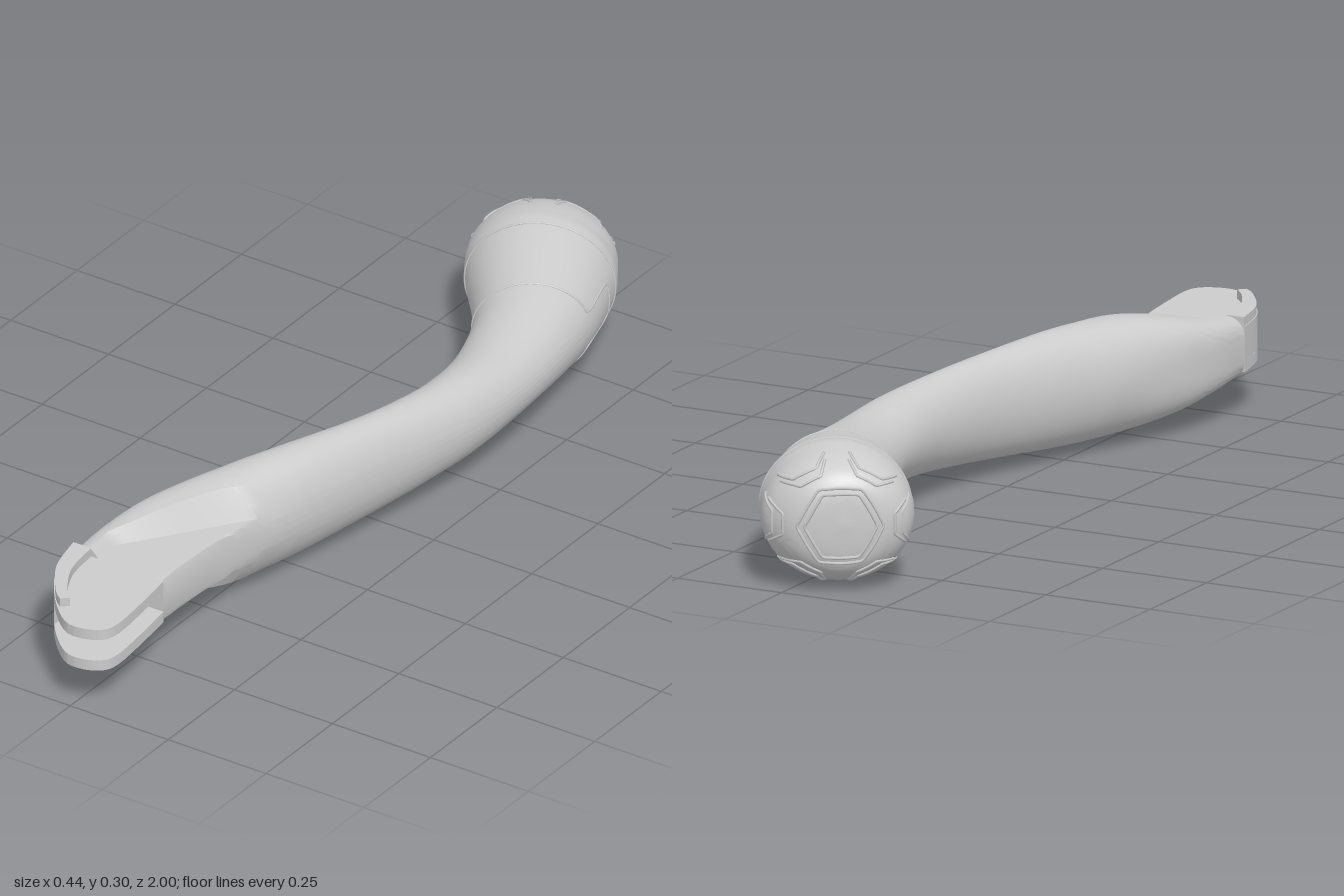
import * as THREE from 'three';
import { toCreasedNormals } from 'three/addons/utils/BufferGeometryUtils.js';

const MID = 0.15; // height of the long axis
const material = new THREE.MeshStandardMaterial({ color: 0xcccccc, side: THREE.DoubleSide });

// Stations from the knob to the grip: left x, left z, right x, right z, half height
const stations = [
  [-0.125, -0.955, -0.125, -0.955, 0], [-0.175, -0.915, -0.06, -0.99, 0.07],
  [-0.205, -0.88, -0.005, -0.998, 0.107], [-0.218, -0.835, 0.055, -0.975, 0.132],
  [-0.2, -0.78, 0.095, -0.92, 0.146], [-0.16, -0.722, 0.122, -0.87, 0.145],
  [-0.035, -0.565, 0.178, -0.7, 0.111], [0.03, -0.395, 0.212, -0.47, 0.086],
  [0.055, -0.236, 0.215, -0.26, 0.094], [0.05, -0.1, 0.192, -0.1, 0.103],
  [0.02, 0.055, 0.16, 0.055, 0.114], [-0.045, 0.24, 0.125, 0.24, 0.126],
  [-0.085, 0.34, 0.105, 0.34, 0.128], [-0.115, 0.43, 0.085, 0.43, 0.124],
  [-0.15, 0.54, 0.068, 0.54, 0.109], [-0.168, 0.64, 0.062, 0.64, 0.087],
  [-0.17, 0.74, 0.062, 0.74, 0.072],
];
const LAST = stations.length - 1;
const leftCurve = new THREE.CatmullRomCurve3(
  stations.map(([x, z, , , h]) => new THREE.Vector3(x, h, z)), false, 'catmullrom');
const rightCurve = new THREE.CatmullRomCurve3(
  stations.map(([, , x, z]) => new THREE.Vector3(x, 0, z)), false, 'catmullrom');

const clamp = THREE.MathUtils.clamp;
const spow = (v, p) => Math.sign(v) * Math.pow(Math.abs(v), p);

// Cross-section data at station s; the section grows squarer towards the grip
function section(s) {
  const l = leftCurve.getPoint(s / LAST), r = rightCurve.getPoint(s / LAST);
  return {
    cx: (l.x + r.x) / 2, cz: (l.z + r.z) / 2, dx: (r.x - l.x) / 2, dz: (r.z - l.z) / 2,
    h: Math.max(0, l.y), n: 2 + 2 * THREE.MathUtils.smoothstep(s, 12, LAST),
  };
}

// Slanted edge and wall width of the scooped cheeks
const scoopX = (z) => Math.max(-0.125, 0.125 - 0.62 * (z - 0.27));
const scoopW = (z) => 0.06 - 0.1 * (z - 0.27);

function surfacePoint(c, a) {
  const u = spow(Math.cos(a), 2 / c.n);
  const x = c.cx + c.dx * u, z = c.cz + c.dz * u;
  let y = c.h * spow(Math.sin(a), 2 / c.n);
  if (z > 0.25) {
    const t = clamp((x - scoopX(z)) / scoopW(z), 0, 1);
    let limit = c.h + (0.05 - c.h) * t;
    if (y < 0) limit = Math.min(limit, 0.05 + (0.74 - z) * 0.5);
    y = clamp(y, -limit, limit);
  }
  return new THREE.Vector3(x, MID + y, z);
}

// Angles around a section, with columns kept on the scoop edges
function ringAngles(c) {
  const angleAt = (u) => Math.acos(clamp(spow(u, c.n / 2), -1, 1));
  let ub = 0.93, uc = 0.97;
  if (c.cz > 0.2) {
    ub = clamp((scoopX(c.cz) - c.cx) / c.dx, -0.9, 0.93);
    uc = clamp((scoopX(c.cz) + scoopW(c.cz) - c.cx) / c.dx, ub + 0.03, 0.97);
  }
  const stops = [Math.PI, angleAt(ub), angleAt(uc), 0], counts = [16, 2, 8];
  const top = [];
  counts.forEach((n, k) => {
    for (let i = 0; i < n; i++) top.push(THREE.MathUtils.lerp(stops[k], stops[k + 1], i / n));
  });
  return [...top, 0, ...top.slice(1).reverse().map((a) => -a)];
}

function bodyGeometry() {
  const pos = [], index = [], rows = LAST * 6;
  let m = 0;
  for (let i = 0; i <= rows; i++) {
    const c = section((i / rows) * LAST), angles = ringAngles(c);
    m = angles.length;
    for (const a of angles) pos.push(...surfacePoint(c, a).toArray());
  }
  for (let i = 0; i < rows; i++) for (let j = 0; j < m; j++) {
    const k = (j + 1) % m, a = i * m + j, b = i * m + k;
    index.push(a, a + m, b, b, a + m, b + m);
  }
  // end face behind the slot
  pos.push(-0.05, MID, 0.74);
  for (let j = 0; j < m; j++) index.push(pos.length / 3 - 1, rows * m + (j + 1) % m, rows * m + j);
  const g = new THREE.BufferGeometry();
  g.setAttribute('position', new THREE.Float32BufferAttribute(pos, 3));
  g.setIndex(index);
  return toCreasedNormals(g, 0.6);
}

// Flat plate from a plan outline (x, z) between two heights
function plate(shape, y0, y1) {
  const g = new THREE.ExtrudeGeometry(shape, { depth: y1 - y0, bevelEnabled: false, curveSegments: 24 });
  g.rotateX(Math.PI / 2).translate(0, y1, 0);
  return toCreasedNormals(g, 0.6);
}
const v2 = (list) => list.map(([x, z]) => new THREE.Vector2(x, z));

// Fine line laid on the surface through (station, angle) pairs
function surfaceLine(pairs, closed, radius = 0.0035) {
  const pts = pairs.map(([s, a]) => surfacePoint(section(s), a));
  const curve = new THREE.CatmullRomCurve3(pts, closed, 'centripetal');
  return new THREE.TubeGeometry(curve, pts.length * 2, radius, 5, closed);
}
// Straight run on the knob's end, given in polar (station, angle) corners
function polarPath(corners, steps = 5) {
  const out = [];
  for (let k = 0; k < corners.length - 1; k++) {
    const [p, q] = [corners[k], corners[k + 1]].map(([r, a]) =>
      new THREE.Vector2(r * Math.cos(a), r * Math.sin(a)));
    for (let i = k ? 1 : 0; i <= steps; i++) {
      const w = p.clone().lerp(q, i / steps);
      out.push([w.length(), Math.atan2(w.y, w.x)]);
    }
  }
  return out;
}

export function createModel() {
  const group = new THREE.Group();
  const add = (name, geometry) => {
    const mesh = new THREE.Mesh(geometry, material);
    mesh.name = name;
    group.add(mesh);
  };
  add('curvedHandleBody', bodyGeometry());

  // Grip end: two prongs, a web closing the slot on one side, a raised lip
  const tip = new THREE.Shape();
  tip.moveTo(-0.17, 0.74);
  tip.splineThru(v2([[-0.145, 0.84], [-0.09, 0.925], [-0.025, 0.988], [0.02, 0.999],
    [0.066, 0.98], [0.081, 0.94], [0.075, 0.85], [0.062, 0.74]]));
  tip.closePath();
  add('upperProng', plate(tip, 0.175, 0.2));
  add('lowerProng', plate(tip, 0.1, 0.125));

  const web = new THREE.Shape();
  web.moveTo(-0.17, 0.74);
  web.splineThru(v2([[-0.145, 0.84], [-0.1, 0.913]]));
  web.lineTo(-0.1, 0.74);
  web.closePath();
  add('slotWeb', plate(web, 0.125, 0.175));

  const lip = new THREE.Shape();
  lip.moveTo(-0.168, 0.74);
  lip.splineThru(v2([[-0.143, 0.84], [-0.09, 0.922], [-0.06, 0.95]]));
  lip.lineTo(-0.045, 0.935);
  lip.splineThru(v2([[-0.075, 0.9], [-0.11, 0.83], [-0.123, 0.74]]));
  lip.closePath();
  add('thumbLip', plate(lip, 0.2, 0.22));

  // Seams round the knob; the second steps round a tab on the outer side
  const seam = [], tabSeam = [];
  for (let i = 0; i < 64; i++) {
    const a = (i / 64) * Math.PI * 2 - Math.PI;
    seam.push([4.95, a]);
    tabSeam.push([Math.abs(a) < 0.38 ? 5.35 : 6, a]);
  }
  add('knobSeam', surfaceLine(seam, true, 0.003));
  add('tabSeam', surfaceLine(tabSeam, true, 0.003));

  // Hexagonal tread on the knob: nested hexagons and six chevrons
  const step = Math.PI / 3;
  for (const r of [1.15, 1.45]) {
    const corners = [0, 1, 2, 3, 4, 5, 6].map((k) => [r, k * step]);
    add('treadHexagon', surfaceLine(polarPath(corners).slice(0, -1), true));
  }
  for (let k = 0; k < 6; k++) {
    const a = k * step;
    for (const r of [2.1, 2.6])
      add('treadChevron', surfaceLine(polarPath([[r + 0.9, a - 0.36], [r, a - 0.2], [r, a + 0.2], [r + 0.9, a + 0.36]]), false));
  }
  return group;
}
